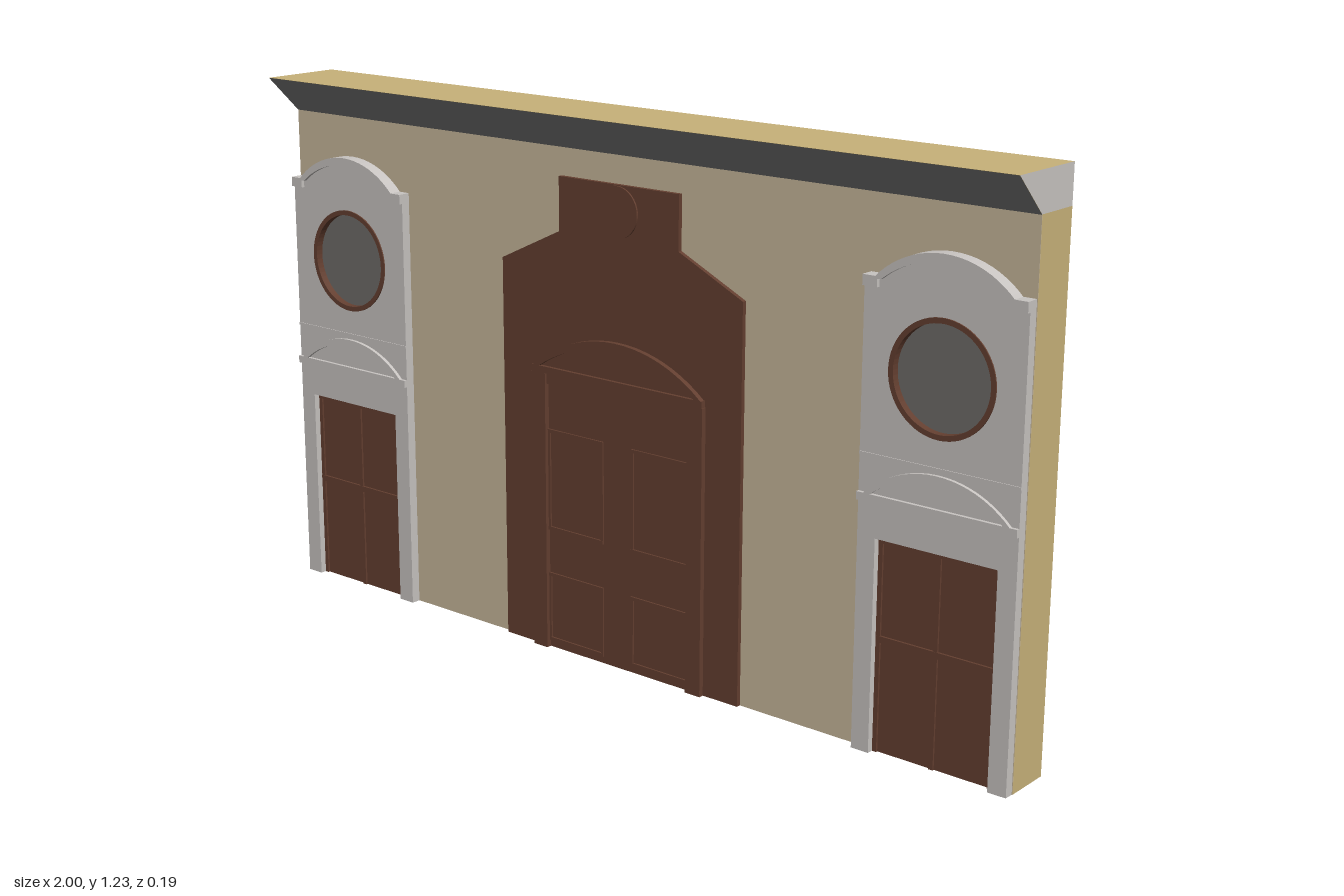
import * as THREE from 'three';

const mat = (name, color, side = THREE.FrontSide) => {
  const m = new THREE.MeshStandardMaterial({ color, side });
  m.name = name;
  return m;
};

const WALL_Z = 0.012; // front plane of the wall

export function createModel() {
  const sand = mat('sand', 0xc8b27a);
  const plaster = mat('plaster', 0xc8b89c);
  const stone = mat('stone', 0xc8c4c1);
  const shade = mat('corniceGrey', 0x808080);
  const wood = mat('wood', 0x643f30);
  const glass = mat('glass', 0x6f6c69);

  const add = (parent, name, geo, material) => {
    const m = new THREE.Mesh(geo, material);
    m.name = name;
    parent.add(m);
    return m;
  };
  // box given by its min and max corners
  const box = (parent, name, material, x0, x1, y0, y1, z0, z1) =>
    add(parent, name, new THREE.BoxGeometry(x1 - x0, y1 - y0, z1 - z0)
      .translate((x0 + x1) / 2, (y0 + y1) / 2, (z0 + z1) / 2), material);
  // shape extruded forward from z0 to z1
  const slab = (parent, name, material, shape, z0, z1) =>
    add(parent, name, new THREE.ExtrudeGeometry(shape,
      { depth: z1 - z0, bevelEnabled: false, curveSegments: 32 }).translate(0, 0, z0), material);
  // points of a circular arc from (w, y) over the crown to (-w, y)
  const arc = (w, y, rise, n = 20) => {
    const r = (w * w + rise * rise) / (2 * rise);
    const a = Math.asin(w / r);
    return Array.from({ length: n + 1 }, (_, i) => {
      const t = a - (2 * a * i) / n;
      return new THREE.Vector2(r * Math.sin(t), y + rise - r + r * Math.cos(t));
    });
  };
  const arcBand = (w, y, rise, t) =>
    new THREE.Shape([...arc(w, y, rise), ...arc(w - t, y, rise - t).reverse()]);
  const disc = (r, x, y) => new THREE.Shape().absarc(x, y, r, 0, Math.PI * 2);
  const ring = (outer, inner, y) => {
    const s = disc(outer, 0, y);
    s.holes.push(new THREE.Path().absarc(0, y, inner, 0, Math.PI * 2, true));
    return s;
  };

  const model = new THREE.Group();
  model.name = 'facade';

  // Wall body with plastered front
  box(model, 'wall', sand, -1, 1, 0, 1.147, -0.097, WALL_Z - 0.001);
  box(model, 'wallFront', plaster, -1, 1, 0, 1.147, WALL_Z - 0.001, WALL_Z);

  // Cornice: profile in (z, y) run along x, stone ends, sloping grey front
  const profile = new THREE.Shape([[-0.097, 1.147], [WALL_Z, 1.147], [0.097, 1.23], [-0.097, 1.23]]
    .map(p => new THREE.Vector2(...p)));
  add(model, 'cornice', new THREE.ExtrudeGeometry(profile, { depth: 2, bevelEnabled: false })
    .rotateY(-Math.PI / 2).translate(1, 0, 0), [stone, sand]);
  add(model, 'corniceSlope', new THREE.PlaneGeometry(2, 0.119)
    .rotateX(Math.atan2(0.085, 0.083)).translate(0, 1.188, 0.055), shade);

  // Side bays with a door below and a round window above
  for (const side of [-1, 1]) {
    const bay = new THREE.Group();
    bay.name = side > 0 ? 'leftBay' : 'rightBay';
    bay.position.x = side * 0.8165;
    model.add(bay);

    const v = (x, y) => new THREE.Vector2(x, y);
    const face = new THREE.Shape([v(-0.182, 0), v(-0.14, 0), v(-0.14, 0.46), v(0.14, 0.46),
      v(0.14, 0), v(0.182, 0), v(0.182, 0.975), ...arc(0.155, 0.975, 0.07), v(-0.182, 0.975)]);
    face.holes.push(new THREE.Path().absarc(0, 0.81, 0.119, 0, Math.PI * 2, true));
    slab(bay, 'bayFace', stone, face, WALL_Z, 0.034);

    // round window
    slab(bay, 'windowFrame', wood, ring(0.12, 0.109, 0.81), WALL_Z, 0.037);
    slab(bay, 'windowGlass', glass, disc(0.11, 0, 0.81), WALL_Z, 0.02);

    // top moulding and lower pediment
    slab(bay, 'topMoulding', stone, arcBand(0.158, 0.985, 0.069, 0.018), WALL_Z, 0.042);
    slab(bay, 'pedimentArch', stone, arcBand(0.168, 0.55, 0.07, 0.015), 0.03, 0.042);
    box(bay, 'pedimentBase', stone, -0.182, 0.182, 0.535, 0.552, 0.03, 0.042);
    box(bay, 'stringCourse', stone, -0.182, 0.182, 0.628, 0.634, 0.03, 0.036);
    for (const s of [-1, 1]) {
      const [a, b] = s > 0 ? [0.148, 0.182] : [-0.182, -0.148];
      box(bay, 'mouldingEar', stone, a, b, 0.968, 0.99, WALL_Z, 0.042);
    }

    // door with its frame and bars
    box(bay, 'sideDoor', wood, -0.14, 0.14, 0, 0.46, WALL_Z, 0.015);
    box(bay, 'doorRail', wood, -0.14, 0.14, 0.238, 0.252, 0.015, 0.02);
    box(bay, 'doorHead', wood, -0.14, 0.14, 0.448, 0.46, 0.015, 0.02);
    for (const x of [-0.135, 0, 0.135])
      box(bay, 'doorStile', wood, x - 0.005, x + 0.005, 0, 0.448, 0.015, 0.0195);
  }

  // Central portal with stepped top
  const portal = new THREE.Group();
  portal.name = 'portal';
  model.add(portal);
  const half = [[0.333, 0], [0.333, 0.885], [0.165, 0.965], [0.165, 1.085]];
  const outline = [...half, ...half.map(([x, y]) => [-x, y]).reverse()];
  slab(portal, 'portalFace', wood,
    new THREE.Shape(outline.map(p => new THREE.Vector2(...p))), WALL_Z, 0.022);
  slab(portal, 'medallion', wood, disc(0.056, 0, 1.027), 0.022, 0.026);

  // curved pediment over the main door
  slab(portal, 'portalTympanum', wood, new THREE.Shape(arc(0.23, 0.655, 0.085)), 0.022, 0.026);
  slab(portal, 'portalArch', wood, arcBand(0.235, 0.66, 0.085, 0.018), 0.022, 0.034);
  box(portal, 'portalLintel', wood, -0.238, 0.238, 0.645, 0.66, 0.022, 0.034);
  box(portal, 'doorHeader', wood, -0.2, 0.2, 0.62, 0.645, 0.022, 0.028);

  // jambs and door leaves with framed panels
  for (const s of [-1, 1]) {
    const side = new THREE.Group();
    side.name = s > 0 ? 'leftDoorLeaf' : 'rightDoorLeaf';
    side.position.x = s * 0.12;
    portal.add(side);
    const j = s * 0.1;
    box(side, 'jamb', wood, j - 0.02, j + 0.02, 0, 0.645, 0.022, 0.034);
    for (const [y0, y1] of [[0.02, 0.175], [0.285, 0.512]]) {
      for (const y of [y0, y1])
        box(side, 'panelRail', wood, -0.08, 0.08, y - 0.004, y + 0.004, 0.022, 0.026);
      for (const x of [-0.077, 0.077])
        box(side, 'panelStile', wood, x - 0.003, x + 0.003, y0, y1, 0.022, 0.0255);
    }
  }
  return model;
}
